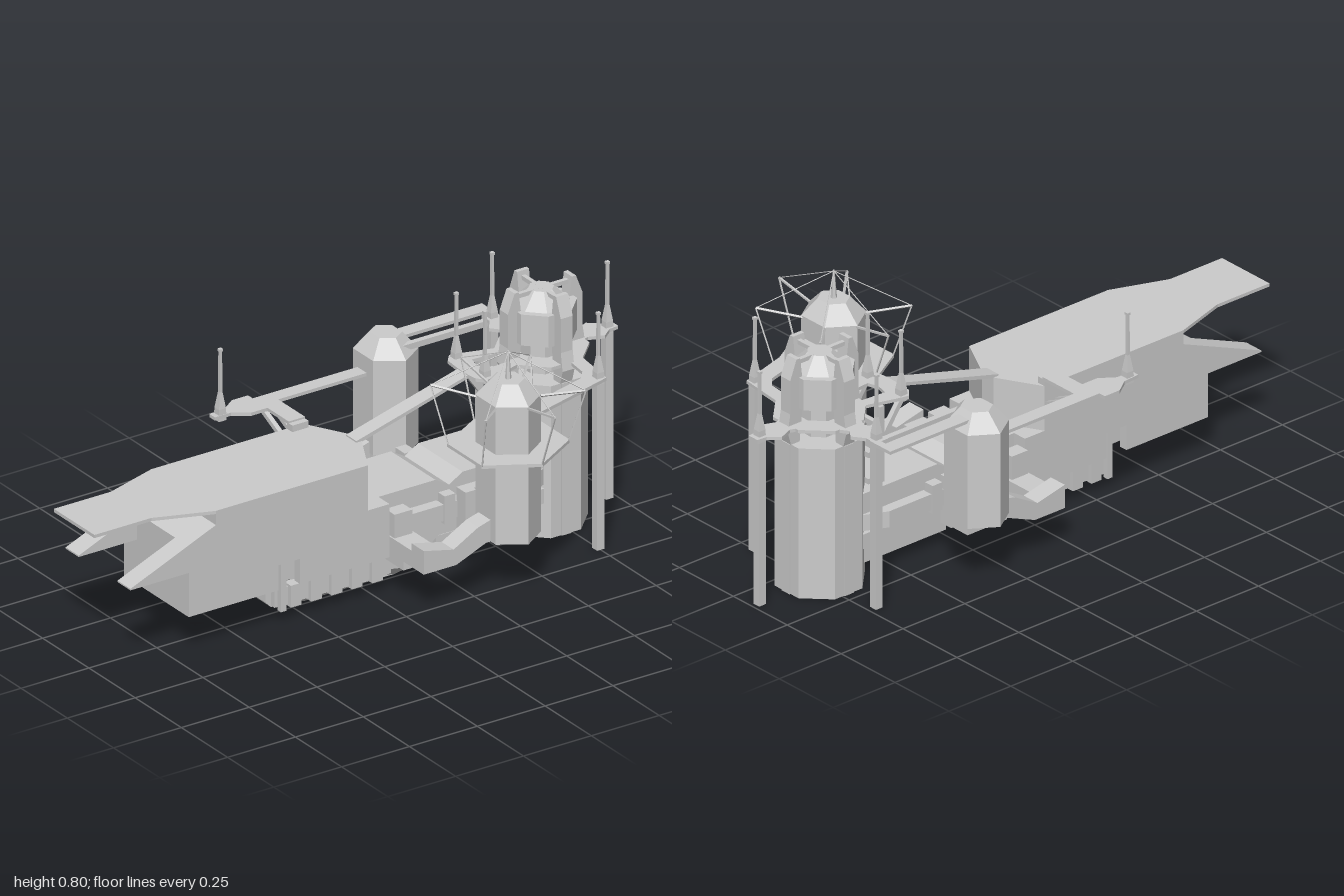
import * as THREE from 'three';

const mat = new THREE.MeshStandardMaterial({ color: 0xcccccc, flatShading: true, side: THREE.DoubleSide });
const V = (x, y, z) => new THREE.Vector3(x, y, z);

export function createModel() {
  const root = new THREE.Group();
  const MID = -0.075; // centre line of the hull

  function add(name, geo, parent = root) {
    const m = new THREE.Mesh(geo, mat);
    m.name = name;
    parent.add(m);
    return m;
  }
  function group(name, x = 0, y = 0, z = 0) {
    const g = new THREE.Group();
    g.name = name;
    g.position.set(x, y, z);
    root.add(g);
    return g;
  }
  // box given by its limits
  function box(name, x0, x1, y0, y1, z0, z1, parent) {
    const g = new THREE.BoxGeometry(x1 - x0, y1 - y0, z1 - z0);
    g.translate((x0 + x1) / 2, (y0 + y1) / 2, (z0 + z1) / 2);
    return add(name, g, parent);
  }
  const outline = (pts, s) => new THREE.Shape(pts.map(([a, b]) => new THREE.Vector2(a, s * b)));
  const extrude = (shape, depth) => new THREE.ExtrudeGeometry(shape, { depth, bevelEnabled: false });
  // plan outline (x, z) raised from y0 to y1
  const plan = (name, pts, y0, y1, parent) =>
    add(name, extrude(outline(pts, -1), y1 - y0).rotateX(-Math.PI / 2).translate(0, y0, 0), parent);
  // side outline (x, y) running from z0 to z1
  const side = (name, pts, z0, z1, parent) =>
    add(name, extrude(outline(pts, 1), z1 - z0).translate(0, 0, z0), parent);
  // square bar between two points
  function bar(name, a, b, r, parent) {
    const d = b.clone().sub(a);
    const g = new THREE.CylinderGeometry(r, r, d.length(), 4).rotateY(Math.PI / 4);
    const m = add(name, g, parent);
    m.position.copy(a).addScaledVector(d, 0.5);
    m.quaternion.setFromUnitVectors(V(0, 1, 0), d.normalize());
  }
  // upright prism or frustum
  const prism = (name, r0, r1, y0, y1, n, turn, parent) =>
    add(name, new THREE.CylinderGeometry(r1, r0, y1 - y0, n).rotateY(turn).translate(0, (y0 + y1) / 2, 0), parent);

  // ---- hull: notched side walls around a core, with a channel on each side below ----
  for (const z of [-0.25, 0.07])
    side('hullWall', [[-0.7, 0.13], [-0.37, 0.13], [-0.37, 0.215], [-0.29, 0.215], [-0.29, 0.13], [0.04, 0.13],
      [0.04, 0.31], [-0.7, 0.31]], z, z + 0.03);
  box('hullCore', -0.67, 0.04, 0.13, 0.25, -0.19, 0.04);
  box('hullFloor', -0.7, 0.04, 0.22, 0.31, -0.22, 0.07);
  for (const x of [-0.7, 0.01]) box('hullEnd', x, x + 0.03, 0.13, 0.22, -0.22, 0.07);
  plan('upperHull', [[-0.6, -0.25], [-0.04, -0.25], [0.04, -0.105], [0.04, -0.05], [-0.04, 0.1], [-0.6, 0.1]], 0.31, 0.455);
  side('sternSlope', [[-0.6, 0.415], [-0.7, 0.37], [-0.7, 0.3], [-0.59, 0.3]], -0.19, 0.03);
  for (const z of [-0.25, 0.03])
    side('sternProng', [[-0.59, 0.44], [-0.6, 0.415], [-0.915, 0.285], [-0.915, 0.28], [-0.59, 0.28]], z, z + 0.07);
  plan('flightDeck', [[-1, -0.19], [-0.79, -0.19], [-0.6, -0.25], [-0.04, -0.25], [0.04, -0.105], [0.04, -0.05],
    [-0.04, 0.1], [-0.6, 0.1], [-0.79, 0.03], [-1, 0.03]], 0.452, 0.463);
  box('hullBump', -0.61, -0.57, 0.118, 0.13, -0.12, -0.04);

  // ---- spine between hull and main tower ----
  side('spineTop', [[0.04, 0.24], [0.65, 0.24], [0.65, 0.31], [0.35, 0.31], [0.3, 0.28], [0.25, 0.31], [0.04, 0.31]], -0.2, 0.04);
  plan('spineMiddle', [[0.04, -0.23], [0.57, -0.23], [0.66, -0.19], [0.66, 0.03], [0.57, 0.07], [0.04, 0.07]], 0.18, 0.235);
  box('spineLower', 0.04, 0.65, 0.12, 0.17, -0.2, 0.04);
  box('spineBeam', 0.28, 0.62, 0.045, 0.095, -0.16, 0);
  for (const x of [0.26, 0.36]) box('spineRib', x, x + 0.04, 0.17, 0.265, -0.235, 0.075);

  // ---- keel with bevelled bottom, flanked by galleries ----
  const keel = side('keel', [[-0.37, 0.13], [-0.37, 0.06], [-0.35, 0.04], [-0.26, 0.035], [-0.2, 0.005], [0.13, 0.005],
    [0.16, 0.035], [0.29, 0.13]], -0.18, 0.03).geometry.attributes.position;
  for (let i = 0; i < keel.count; i++)
    if (keel.getY(i) < 0.01) keel.setZ(i, MID + (keel.getZ(i) - MID) * 0.65);
  for (const s of [1, -1]) {
    const z = (a, b) => (s > 0 ? [MID + a, MID + b] : [MID - b, MID - a]);
    box('gallery', -0.35, 0.08, 0.045, 0.105, ...z(0.1, 0.125));
    for (let i = 0; i < 5; i++) box('galleryPanel', -0.3 + i * 0.075, -0.26 + i * 0.075, 0.038, 0.112, ...z(0.1, 0.14));
    bar('hook', V(-0.33, 0.035, MID + s * 0.135), V(-0.33, 0.22, MID + s * 0.135), 0.014);
    box('spineLocker', 0.31, 0.35, 0.115, 0.28, ...z(0.14, 0.19));
    // stepped arms that carry the side towers
    box('armRoot', 0.04, 0.12, 0.115, 0.2, ...z(0.12, 0.25));
    box('armLink', 0.04, 0.12, 0.145, 0.2, ...z(0.25, 0.3));
    box('armCollar', 0.045, 0.11, 0.2, 0.28, ...z(0.145, 0.195));
    side('towerArm', [[0.04, 0.145], [0.16, 0.145], [0.27, 0.19], [0.31, 0.19], [0.31, 0.27], [0.24, 0.25], [0.15, 0.2], [0.04, 0.225]],
      ...z(0.295, 0.36));
  }

  // ---- main tower ----
  const CX = 0.725, CZ = -0.085;
  const tower = group('mainTower', CX, 0, CZ);
  prism('towerBody', 0.145, 0.145, 0, 0.515, 8, Math.PI / 8, tower);
  prism('towerNeck', 0.06, 0.06, 0.515, 0.63, 8, Math.PI / 8, tower);
  prism('towerCabin', 0.112, 0.112, 0.63, 0.735, 8, Math.PI / 8, tower);
  prism('towerRoof', 0.09, 0.04, 0.735, 0.785, 8, Math.PI / 8, tower);
  for (let i = 0; i < 4; i++) {
    const fin = new THREE.Group();
    fin.name = 'towerFin';
    fin.rotation.y = i * Math.PI / 2;
    tower.add(fin);
    side('finBlade', [[0.1, 0.515], [0.135, 0.515], [0.148, 0.56], [0.138, 0.62], [0.138, 0.735], [0.113, 0.8],
      [0.098, 0.8], [0.09, 0.735], [0.09, 0.62]], -0.022, 0.022, fin);
    side('towerRib', [[0.13, 0], [0.138, 0], [0.138, 0.515], [0.13, 0.515]], -0.018, 0.018, fin);
    bar('finTie', V(0, 0.778, 0), V(0.11, 0.778, 0), 0.01, fin);
  }

  // ---- walkways ----
  const Y1 = 0.57, Y2 = 0.48, T = 0.011;
  const ringShape = (R, r, n, turn) => {
    const pts = rad => Array.from({ length: n }, (_, i) => {
      const a = turn + i * 2 * Math.PI / n;
      return new THREE.Vector2(rad * Math.cos(a), rad * Math.sin(a));
    });
    const s = new THREE.Shape(pts(R));
    s.holes.push(new THREE.Path(pts(r)));
    return s;
  };
  add('towerRing', extrude(ringShape(0.15, 0.08, 8, Math.PI / 8), T).rotateX(-Math.PI / 2).translate(CX, Y1, CZ));
  plan('outerArm', [[0.84, -0.14], [0.88, -0.125], [0.93, -0.145], [0.965, -0.115], [1, -0.112], [1, -0.072], [0.965, -0.068],
    [0.93, -0.04], [0.88, -0.06], [0.84, -0.045]], Y1, Y1 + T);
  plan('backArm', [[0.67, -0.21], [0.69, -0.25], [0.665, -0.28], [0.695, -0.32], [0.695, -0.365], [0.742, -0.365], [0.742, -0.32],
    [0.77, -0.28], [0.75, -0.25], [0.775, -0.21]], Y1, Y1 + T);
  plan('frontArm', [[0.74, 0.04], [0.79, 0.02], [0.768, 0.205], [0.45, 0.295], [0.45, 0.235], [0.7, 0.165], [0.73, 0.13]], Y1, Y1 + T);
  plan('fork', [[0.43, -0.105], [0.435, -0.165], [0.46, -0.195], [0.5, -0.185], [0.62, -0.15], [0.62, -0.12], [0.5, -0.13], [0.49, -0.09],
    [0.5, -0.05], [0.62, -0.06], [0.62, -0.03], [0.5, 0.005], [0.46, 0.015], [0.435, -0.015], [0.43, -0.05]], Y1, Y1 + T);
  side('ramp', [[0.02, 0.455], [0.44, 0.57], [0.44, 0.581], [0.02, 0.468]], -0.105, -0.05);
  plan('backWalk', [[-0.27, -0.42], [-0.21, -0.425], [-0.16, -0.46], [-0.1, -0.46], [-0.1, -0.435], [0.34, -0.435], [0.34, -0.385],
    [-0.04, -0.385], [-0.04, -0.24], [-0.1, -0.24], [-0.1, -0.355], [-0.16, -0.355], [-0.21, -0.39], [-0.27, -0.39]], Y2, Y2 + T);
  plan('backLink', [[0.4, -0.435], [0.745, -0.435], [0.745, -0.34], [0.72, -0.34], [0.72, -0.385], [0.4, -0.385]], Y1, Y1 + T);
  bar('backRail', V(0.38, 0.565, -0.345), V(0.7, 0.565, -0.345), 0.014);
  for (const x of [-0.09, -0.05]) bar('walkStrut', V(x, 0.4, -0.25), V(x, 0.48, -0.42), 0.011);
  box('deckStep', -0.1, -0.04, 0.46, 0.485, -0.25, -0.22);
  // lattice under the fork
  for (const z of [-0.17, -0.01]) {
    bar('latticePost', V(0.555, 0.25, z), V(0.555, Y1, z), 0.013);
    bar('latticeBrace', V(0.555, 0.45, z), V(0.47, Y1, z), 0.012);
    for (const y of [0.33, 0.42, 0.5]) bar('latticeRail', V(0.555, y, z), V(0.61, y, z), 0.013);
  }
  for (const y of [0.42, 0.5]) bar('latticeCross', V(0.555, y, -0.17), V(0.555, y, -0.01), 0.012);

  // ---- masts, some on tall legs: x, z, deck height, foot height ----
  for (const [x, z, y, foot] of [[-0.24, -0.405, Y2, Y2], [0.47, -0.17, Y1, Y1], [0.47, -0.015, Y1, Y1],
    [0.75, 0.187, Y1, 0], [0.972, -0.09, Y1, 0], [0.718, -0.34, Y1, 0]]) {
    const g = group('mast', x, 0, z), q = Math.PI / 4;
    if (foot < y) prism('mastLeg', 0.019, 0.019, foot, y, 4, q, g);
    prism('mastBase', 0.02, 0.018, y - 0.01, y + 0.03, 4, q, g);
    prism('mastTaper', 0.018, 0.007, y + 0.03, y + 0.085, 4, q, g);
    prism('mastPole', 0.007, 0.006, y + 0.085, y + 0.222, 4, q, g);
    prism('mastCap', 0.009, 0.009, y + 0.222, y + 0.23, 4, q, g);
  }

  // ---- six-sided side towers ----
  function hexTower(name, z, y0, y1, y2) {
    const g = group(name, 0.37, 0, z);
    const body = new THREE.Group();
    body.name = 'hexBody';
    body.scale.x = 0.88;
    g.add(body);
    prism('hexWall', 0.11, 0.11, y0, y1, 6, 0, body);
    prism('hexRoof', 0.11, 0.055, y1, y2, 6, 0, body);
    return g;
  }
  const back = hexTower('backTower', -0.405, 0.225, 0.545, 0.6);
  box('hexSole', -0.08, 0.08, 0.2, 0.226, -0.05, 0.04, back);
  const front = hexTower('frontTower', 0.2575, 0.19, 0.655, 0.71);

  // ---- flat collar and umbrella frame on the front tower ----
  add('collar', extrude(ringShape(0.187, 0.09, 6, Math.PI / 6), T).rotateX(-Math.PI / 2).translate(0, 0.484, 0), front);
  prism('spire', 0.01, 0.003, 0.71, 0.803, 6, 0, front);
  for (let i = 0; i < 6; i++) {
    const a = i * Math.PI / 3, sx = Math.sin(a), cz = Math.cos(a);
    const tip = V(sx * 0.213, 0.677, cz * (i % 3 ? 0.3 : 0.254));
    bar('stay', V(0, 0.8, 0), tip, 0.0016, front);
    bar('spoke', V(sx * 0.08, 0.645, cz * 0.08), tip, 0.0045, front);
    bar('drop', tip, V(sx * 0.183, 0.488, cz * 0.183), 0.003, front);
  }
  return root;
}
